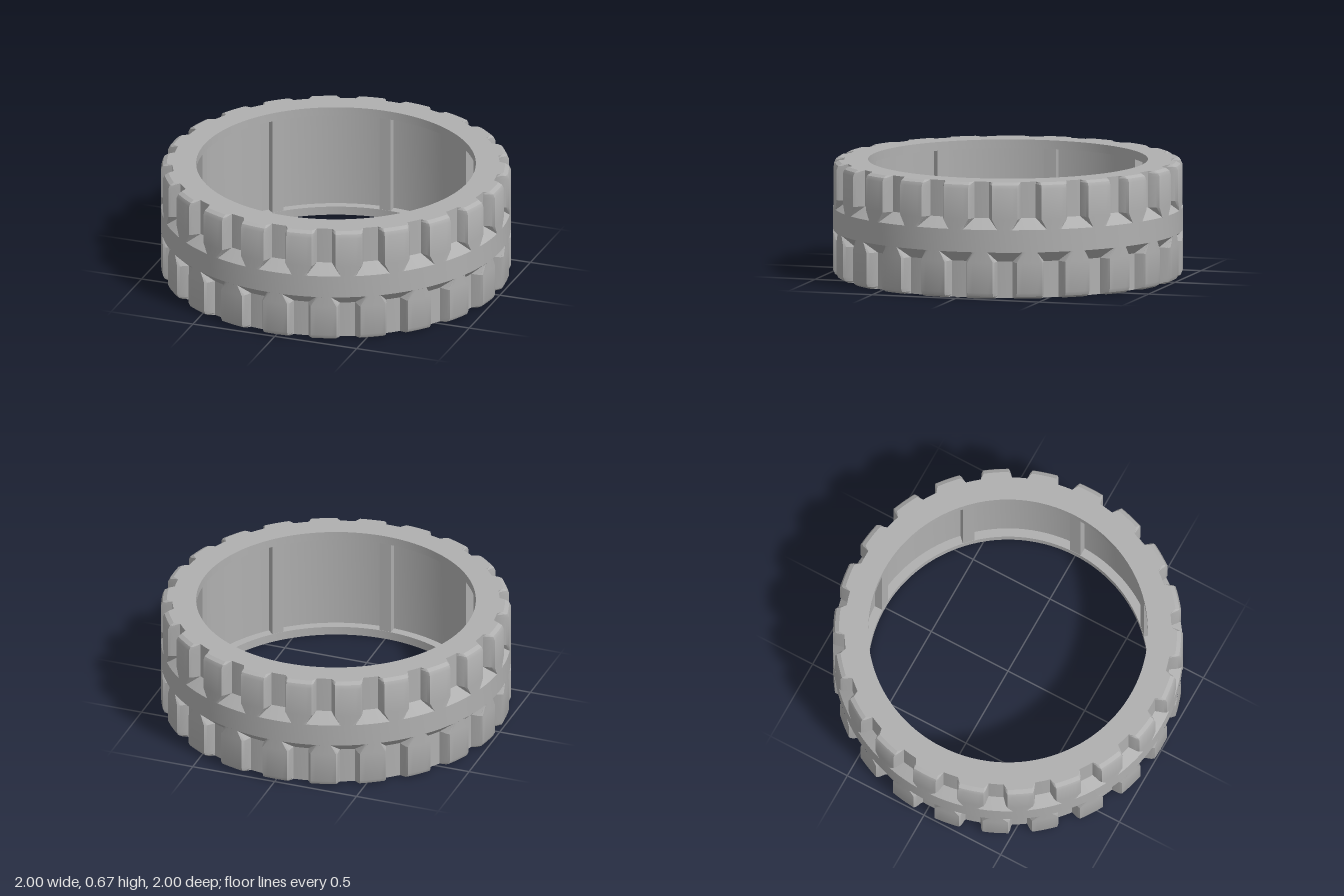
import * as THREE from 'three';
import { toCreasedNormals } from 'three/addons/utils/BufferGeometryUtils.js';

const H = 0.67;        // tyre height
const COUNT = 22;      // tread blocks per side
const PITCH = (Math.PI * 2) / COUNT;
const FLOOR = 0.935;   // radius of the groove floors

// Ring body: raised centre band, groove floors, inner lips and recess
function bodyGeometry() {
  const profile = [
    [0.8, 0], [FLOOR, 0], [FLOOR, 0.21], [1, 0.27], [1, 0.4], [FLOOR, 0.46], [FLOOR, H],
    [0.8, H], [0.8, 0.62], [0.85, 0.62], [0.85, 0.05], [0.8, 0.05], [0.8, 0],
  ].map(([r, y]) => new THREE.Vector2(r, y));
  return toCreasedNormals(new THREE.LatheGeometry(profile, 132), 0.5);
}

// Tread block lofted upward: flared start, straight sides, rounded outer end
function treadGeometry() {
  // y, base angle and radius, wall angle and radius, face angle and radius
  const layers = [
    [0.4, 0.043, 1, 0.043, 1, 0.04, 1],
    [0.46, 0.097, 0.934, 0.083, 0.985, 0.074, 1],
    [0.635, 0.097, 0.934, 0.083, 0.985, 0.074, 1],
    [0.657, 0.097, 0.934, 0.083, 0.977, 0.074, 0.99],
    [H, 0.097, 0.934, 0.083, 0.955, 0.074, 0.967],
  ];
  const arc = [-1, -0.6, -0.2, 0.2, 0.6, 1];
  const positions = [];
  const index = [];
  const n = arc.length + 4;
  layers.forEach(([y, ba, br, wa, wr, fa, fr], j) => {
    const section = [[-ba, br], [-wa, wr], ...arc.map((t) => [t * fa, fr]), [wa, wr], [ba, br]];
    section.forEach(([a, r], i) => {
      positions.push(r * Math.sin(a), y, r * Math.cos(a));
      if (j > 0 && i > 0) {
        const d = j * n + i - 1, c = d + 1, a0 = d - n, b = c - n;
        index.push(a0, b, c, a0, c, d);
      }
    });
  });
  const top = (layers.length - 1) * n;
  for (let i = 1; i < n - 1; i++) index.push(top, top + i, top + i + 1);
  const geometry = new THREE.BufferGeometry();
  geometry.setAttribute('position', new THREE.Float32BufferAttribute(positions, 3));
  geometry.setIndex(index);
  geometry.computeVertexNormals();
  return toCreasedNormals(geometry, 0.45);
}

export function createModel() {
  const model = new THREE.Group();
  model.name = 'tyre';
  const rubber = new THREE.MeshStandardMaterial({ color: 0xb0b0b0 });
  rubber.name = 'grey rubber';

  const add = (parent, geometry, name) => {
    const mesh = new THREE.Mesh(geometry, rubber);
    mesh.name = name;
    parent.add(mesh);
    return mesh;
  };

  add(model, bodyGeometry(), 'ringBody');

  // Two staggered rows of tread blocks, the lower one turned over
  const tread = treadGeometry();
  for (const [name, offset] of [['upperTread', 0.5], ['lowerTread', 0]]) {
    const row = new THREE.Group();
    row.name = name;
    for (let k = 0; k < COUNT; k++) add(row, tread, 'treadBlock').rotation.y = (k + offset) * PITCH;
    if (name === 'lowerTread') {
      row.rotation.x = Math.PI;
      row.position.y = H;
    }
    model.add(row);
  }

  // Upright ribs across the inner recess
  const rib = new THREE.BoxGeometry(0.07, 0.59, 0.06);
  rib.translate(0, H / 2, 0.831);
  for (let k = 0; k < 8; k++) add(model, rib, 'innerRib').rotation.y = (k * Math.PI) / 4;

  return model;
}
